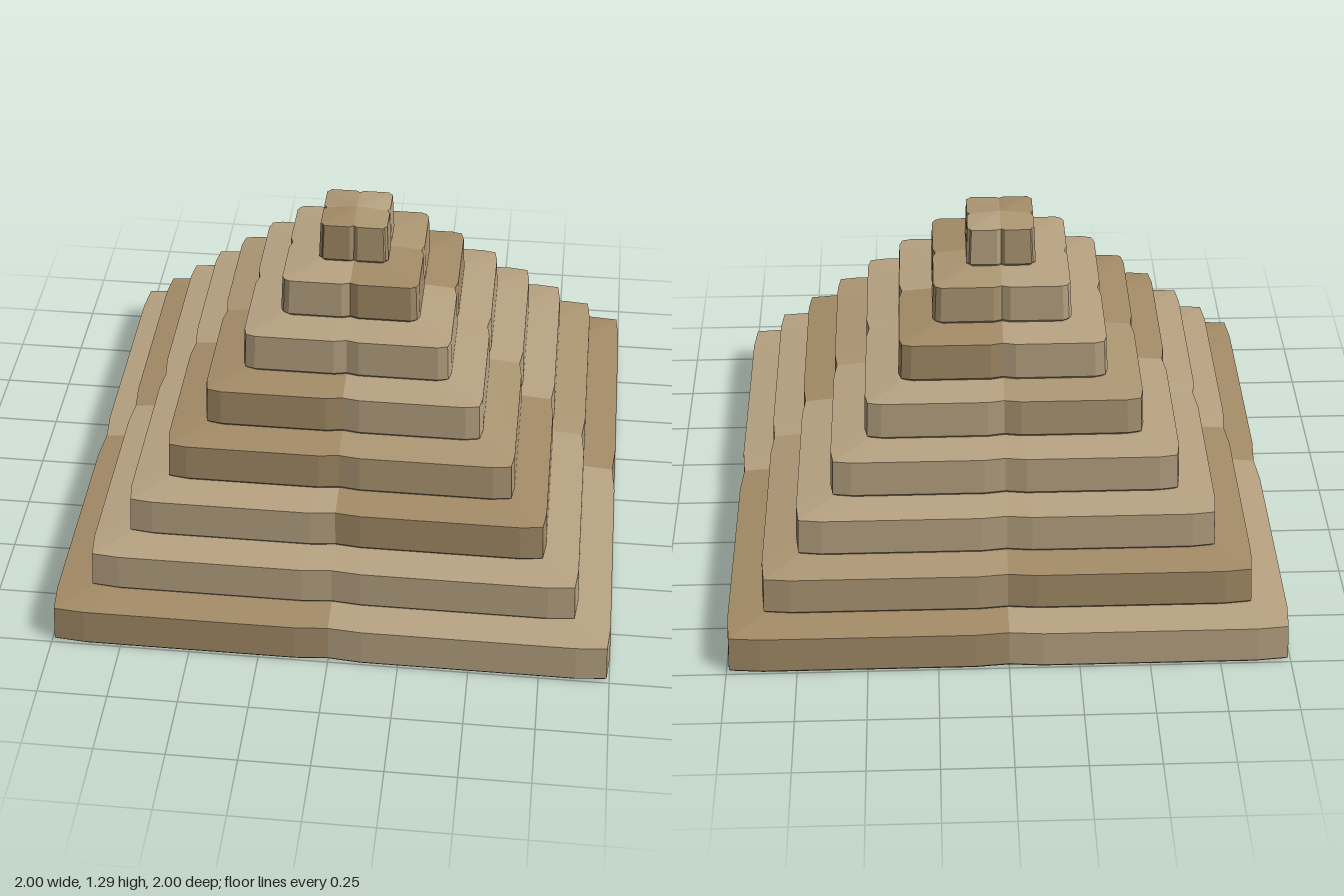
import * as THREE from 'three';

const STEP = 0.161; // height of one tier
const RUN = 0.125; // how far each tier steps in
const TONES = { L: 0xb8a382, M: 0xae9874, D: 0xa48c67 };

// Stone tone of each tier, one letter per corner block
const BLOCKS = ['LDLD', 'LMDL', 'DLLL', 'MLLD', 'LLMD', 'LDLL', 'DMLL', 'MLMD'];

// Outline of one corner block: side middles dip in, the corner is eased
function outline(h) {
  const notch = 0.12 * h, ease = 0.12 * h, dip = 0.01;
  return [
    [0, h - dip], [notch, h], [h - ease, h], [h - dip, h - dip],
    [h, h - ease], [h, notch], [h - dip, 0],
  ];
}

// Quarter of a tier: the outline scaled through a vertical profile
function cornerBlock(h, isTop) {
  const profile = [
    [0, 0], [1 - 0.01 / h, 0], [1, 0.012], [1 - 0.006 / h, 0.15],
    ...(isTop ? [] : [[1 - RUN / h, STEP]]),
    [0, STEP],
  ];
  const pts = outline(h);
  const at = ([s, y], [x, z]) => [x * s, y, z * s];
  const pos = [];
  for (let r = 0; r < profile.length - 1; r++) {
    const lo = profile[r], hi = profile[r + 1];
    for (let i = 0; i < pts.length - 1; i++) {
      const a = at(lo, pts[i]), b = at(lo, pts[i + 1]);
      const c = at(hi, pts[i + 1]), d = at(hi, pts[i]);
      if (lo[0] > 0) pos.push(...a, ...b, ...c);
      if (hi[0] > 0) pos.push(...a, ...c, ...d);
    }
  }
  const geo = new THREE.BufferGeometry();
  geo.setAttribute('position', new THREE.Float32BufferAttribute(pos, 3));
  geo.computeVertexNormals();
  return geo;
}

export function createModel() {
  const model = new THREE.Group();
  model.name = 'steppedPyramid';
  const materials = {};
  for (const key in TONES) {
    materials[key] = new THREE.MeshStandardMaterial({ color: TONES[key], flatShading: true });
  }

  BLOCKS.forEach((tones, t) => {
    const tier = new THREE.Group();
    tier.name = `tier${t + 1}`;
    tier.position.y = t * STEP;
    const geo = cornerBlock(1 - t * RUN, t === BLOCKS.length - 1);
    // Four corner blocks around the axis
    [...tones].forEach((tone, q) => {
      const block = new THREE.Mesh(geo, materials[tone]);
      block.name = `cornerBlock${q + 1}`;
      block.rotation.y = q * Math.PI / 2;
      tier.add(block);
    });
    model.add(tier);
  });
  return model;
}
